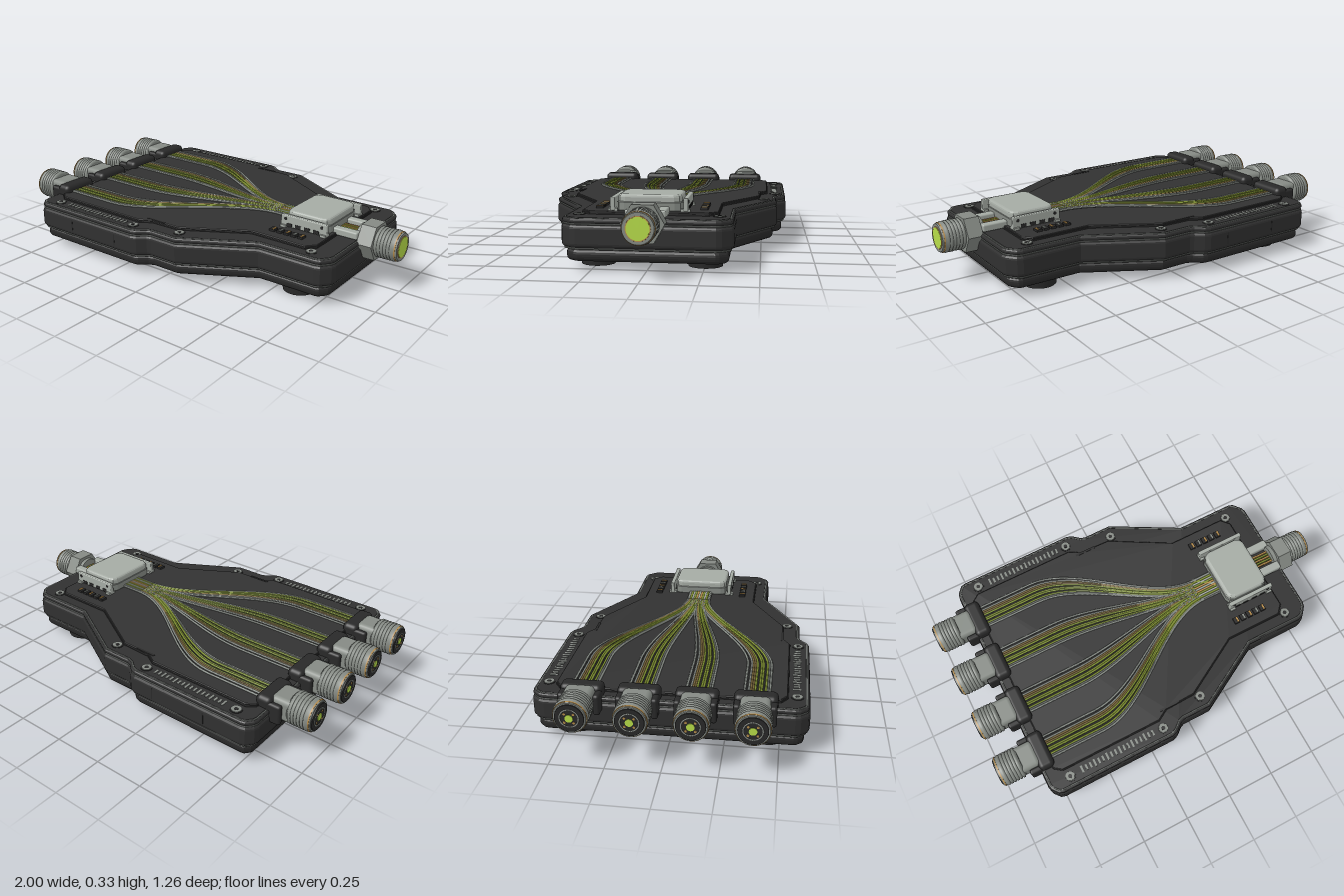
import * as THREE from 'three';
import { RoundedBoxGeometry } from 'three/addons/geometries/RoundedBoxGeometry.js';

const mat = (name, color) => {
  const m = new THREE.MeshStandardMaterial({ color });
  m.name = name;
  return m;
};

export function createModel() {
  const M = {
    body: mat('charcoal body', 0x303030),
    deck: mat('deck grey', 0x323232),
    rubber: mat('black rubber', 0x292929),
    trim: mat('trim grey', 0x666a66),
    steel: mat('steel', 0x858a84),
    light: mat('light steel', 0xa5aba4),
    amber: mat('amber', 0xb58c4c),
    brown: mat('brown fibre', 0x7b683c),
    green: mat('bright green', 0xb6dc48),
    olive: mat('olive fibre', 0x7f9032),
  };
  const root = new THREE.Group();
  root.name = 'fibreCombiner';
  const add = (name, geo, material, x = 0, y = 0, z = 0, parent = root) => {
    const mesh = new THREE.Mesh(geo, material);
    mesh.name = name;
    mesh.position.set(x, y, z);
    parent.add(mesh);
    return mesh;
  };
  const box = (name, m, w, h, d, x, y, z) => add(name, new THREE.BoxGeometry(w, h, d), m, x, y, z);
  const disc = (name, m, r0, r1, h, y, parent, sides = 32) =>
    add(name, new THREE.CylinderGeometry(r0, r1, h, sides), m, 0, y, 0, parent);

  // Symmetric outline from its +z half, listed from left to right
  const outline = (half) => {
    const back = half.map(([x, z]) => [x, -z]).reverse();
    return half.concat(back).map(([x, z]) => new THREE.Vector2(x, z));
  };
  // Bevelled horizontal plate between two heights
  const slab = (name, m, pts, inset, y0, y1, bevel, segs = 1) => {
    const geo = new THREE.ExtrudeGeometry(new THREE.Shape(pts), {
      depth: y1 - y0 - 2 * bevel, bevelEnabled: true, bevelThickness: bevel,
      bevelSize: bevel, bevelOffset: -inset - bevel, bevelSegments: segs,
    });
    geo.rotateX(-Math.PI / 2);
    return add(name, geo, m, 0, y0 + bevel, 0);
  };
  const chamferRect = (w, d, c, cx = 0) => outline([
    [cx - w / 2, d / 2 - c], [cx - w / 2 + c * 0.3, d / 2 - c * 0.3], [cx - w / 2 + c, d / 2],
    [cx + w / 2 - c, d / 2], [cx + w / 2 - c * 0.3, d / 2 - c * 0.3], [cx + w / 2, d / 2 - c],
  ]);

  // Layered housing
  const hull = outline([[-0.81, 0.565], [-0.803, 0.59], [-0.775, 0.623], [-0.75, 0.63], [-0.14, 0.63],
    [-0.11, 0.62], [-0.07, 0.587], [-0.05, 0.58], [0.10, 0.58], [0.45, 0.387], [0.75, 0.387],
    [0.778, 0.378], [0.814, 0.335], [0.822, 0.31]]);
  const panel = outline([[-0.75, 0.50], [-0.71, 0.53], [-0.17, 0.53], [-0.11, 0.495],
    [0.05, 0.49], [0.36, 0.315], [0.66, 0.315], [0.70, 0.27]]);
  slab('lowerTray', M.rubber, hull, 0.022, 0.042, 0.1, 0.024, 4);
  slab('seam', M.trim, hull, 0.011, 0.099, 0.108, 0.002);
  slab('upperHousing', M.body, hull, 0, 0.106, 0.213, 0.02, 4);
  slab('topSeam', M.trim, hull, 0.006, 0.21, 0.217, 0.002);
  slab('topLip', M.body, hull, 0.004, 0.216, 0.239, 0.01, 3);
  slab('topTrimLine', M.trim, hull, 0.013, 0.23, 0.2405, 0.001);
  slab('topPlate', M.body, hull, 0.02, 0.23, 0.242, 0.001);
  slab('panelEdge', M.rubber, panel, 0, 0.24, 0.25, 0.001);
  slab('panel', M.deck, panel, 0.003, 0.24, 0.257, 0.003);

  // Feet
  for (const s of [-1, 1]) for (const [x, z] of [[-0.64, 0.445], [0.60, 0.25]]) {
    add('foot', new THREE.CylinderGeometry(0.083, 0.08, 0.05, 28), M.rubber, x, 0.025, s * z);
  }

  // Screws, scale ticks, wall seams and contact rows on both sides
  for (const s of [-1, 1]) {
    for (const [x, z] of [[-0.69, 0.57], [-0.17, 0.57], [0.075, 0.51], [0.695, 0.318]]) {
      add('screwWasher', new THREE.CylinderGeometry(0.029, 0.029, 0.006, 24), M.rubber, x, 0.241, s * z);
      add('screw', new THREE.CylinderGeometry(0.023, 0.025, 0.006, 20), M.steel, x, 0.243, s * z);
      add('screwSocket', new THREE.CylinderGeometry(0.011, 0.011, 0.003, 6), M.rubber, x, 0.2455, s * z);
    }
    for (let i = 0; i < 18; i++) {
      box('scaleTick', M.steel, 0.01, 0.006, i % 3 ? 0.028 : 0.038, -0.622 + i * 0.0232, 0.241, s * 0.567);
    }
    for (const x of [-0.55, -0.25]) box('wallSeam', M.rubber, 0.006, 0.06, 0.004, x, 0.161, s * 0.629);
    box('panelNotch', M.rubber, 0.11, 0.006, 0.012, -0.09, 0.256, s * 0.487);
    for (let i = 0; i < 5; i++) {
      const x = 0.44 + i * 0.039;
      box('contactBlock', M.rubber, 0.028, 0.012, 0.034, x, 0.262, s * 0.243);
      box('contact', i % 2 ? M.steel : M.amber, 0.009, 0.008, 0.028, x + 0.006, 0.267, s * 0.243);
    }
  }

  // Threaded barrel with an amber ring: local y points outward, tip at y = 0
  const barrel = (len, r, parent) => {
    const pts = [new THREE.Vector2(0, -len), new THREE.Vector2(r * 0.86, -len)];
    const n = 6, p = (len - 0.03) / n;
    for (let i = 0; i < n; i++) {
      const y = -len + 0.008 + i * p;
      pts.push(new THREE.Vector2(r * 0.95, y), new THREE.Vector2(r, y + p * 0.2),
        new THREE.Vector2(r, y + p * 0.7), new THREE.Vector2(r * 0.95, y + p * 0.9));
    }
    pts.push(new THREE.Vector2(r * 0.94, -0.013));
    add('threadedBarrel', new THREE.LatheGeometry(pts, 32), M.steel, 0, 0, 0, parent);
    disc('amberCollar', M.amber, r * 0.95, r * 0.97, 0.006, -0.013, parent);
  };

  // Four input connectors on the left-hand end of the plate
  const lanes = [-0.39, -0.13, 0.13, 0.39];
  for (const z of lanes) {
    const c = new THREE.Group();
    c.name = 'inputConnector';
    c.position.set(-1, 0.242, z);
    c.rotation.z = Math.PI / 2;
    root.add(c);
    barrel(0.125, 0.08, c);
    disc('tipSteel', M.steel, 0.072, 0.075, 0.006, -0.008, c);
    disc('tipFace', M.rubber, 0.065, 0.067, 0.012, -0.006, c);
    add('tipRing', new THREE.TorusGeometry(0.042, 0.004, 6, 28).rotateX(Math.PI / 2), M.steel, 0, -0.002, 0, c);
    disc('tipCore', M.green, 0.018, 0.018, 0.008, -0.001, c, 20);
    for (let i = 0; i < 4; i++) {
      const a = (i + 0.5) * Math.PI / 2;
      add('tipPin', new THREE.CylinderGeometry(0.006, 0.006, 0.006, 8), M.amber,
        0.029 * Math.cos(a), -0.001, 0.029 * Math.sin(a), c);
    }
    // Grey neck held by the dark clamp
    add('connectorNeck', new RoundedBoxGeometry(0.12, 0.115, 0.135, 2, 0.025), M.steel, -0.845, 0.24, z);
    add('clamp', new RoundedBoxGeometry(0.08, 0.12, 0.195, 3, 0.024), M.rubber, -0.767, 0.234, z);
    for (const s of [-1, 1]) {
      add('clampJaw', new RoundedBoxGeometry(0.08, 0.1, 0.03, 2, 0.012), M.rubber, -0.817, 0.225, z + s * 0.08);
    }
  }

  // Fibre ribbons sweeping from each input into the central bundle
  const strands = [M.steel, M.rubber, M.steel, M.brown, M.brown, M.olive, M.rubber, M.olive,
    M.olive, M.rubber, M.olive, M.trim, M.steel];
  lanes.forEach((z0, k) => {
    const ribbon = new THREE.Group();
    ribbon.name = 'fibreRibbon';
    root.add(ribbon);
    strands.forEach((m, i) => {
      const u = (i / (strands.length - 1)) * 2 - 1;
      const pts = [];
      for (let j = 0; j <= 24; j++) {
        const x = -0.745 + j * 0.0508;
        const t = THREE.MathUtils.clamp((x + 0.44) / 0.78, 0, 1);
        const e = t * t * (3 - 2 * t);
        const z = THREE.MathUtils.lerp(z0 + u * 0.057, (k - 1.5) * 0.025 + u * 0.024, e);
        pts.push(new THREE.Vector3(x, (m === M.rubber ? 0.256 : 0.26) + 0.004 * e, z));
      }
      const curve = new THREE.CatmullRomCurve3(pts);
      add('fibre', new THREE.TubeGeometry(curve, 48, 0.0056, 6), m, 0, 0, 0, ribbon);
    });
  });
  // Bundle strands lying on top where the ribbons merge
  const bundle = [M.steel, M.olive, M.light, M.olive, M.amber, M.light, M.amber, M.olive, M.light, M.olive, M.steel];
  bundle.forEach((m, i) => {
    box('bundleStrand', m, 0.13, 0.008, 0.0085, 0.395, 0.268, (i - 5) * 0.0112);
  });

  // Combiner cover with side brackets
  slab('coverBase', M.steel, chamferRect(0.235, 0.30, 0.035, 0.563), 0, 0.256, 0.30, 0.004);
  slab('cover', M.light, chamferRect(0.23, 0.292, 0.035, 0.563), 0, 0.285, 0.333, 0.014, 3);
  for (const s of [-1, 1]) {
    add('bracket', new RoundedBoxGeometry(0.255, 0.06, 0.022, 2, 0.005), M.light, 0.565, 0.29, s * 0.166);
    for (const x of [0.455, 0.675]) box('bracketTab', M.light, 0.03, 0.012, 0.044, x, 0.264, s * 0.165);
    for (let i = 0; i < 4; i++) {
      box('bracketSlot', M.rubber, 0.03, 0.016, 0.004, 0.486 + i * 0.05, 0.273, s * 0.177);
    }
    for (const x of [0.465, 0.665]) {
      add('bracketHole', new THREE.CylinderGeometry(0.008, 0.008, 0.004, 12).rotateX(Math.PI / 2), M.rubber, x, 0.302, s * 0.177);
    }
    // Support rails from the cover to the output nut
    add('outputRail', new RoundedBoxGeometry(0.14, 0.036, 0.044, 2, 0.008), M.light, 0.735, 0.262, s * 0.07);
  }

  // Output fibres and connector
  for (let i = 0; i < 5; i++) {
    box('outputFibre', i % 2 ? M.olive : M.amber, 0.14, 0.012, 0.009, 0.735, 0.257, (i - 2) * 0.014);
  }
  const out = new THREE.Group();
  out.name = 'outputConnector';
  out.position.set(1, 0.23, 0);
  out.rotation.z = -Math.PI / 2;
  root.add(out);
  barrel(0.125, 0.076, out);
  const hex = new THREE.CylinderGeometry(0.097, 0.097, 0.076, 6).toNonIndexed();
  hex.computeVertexNormals();
  add('outputNut', hex, M.steel, 0, -0.156, 0, out);
  disc('outputNeck', M.steel, 0.07, 0.07, 0.03, -0.2, out, 24);
  disc('tipSteel', M.steel, 0.068, 0.072, 0.01, -0.008, out);
  disc('tipAmberRing', M.amber, 0.054, 0.056, 0.008, -0.005, out);
  disc('outputLens', M.green, 0.05, 0.051, 0.006, -0.003, out);

  return root;
}
